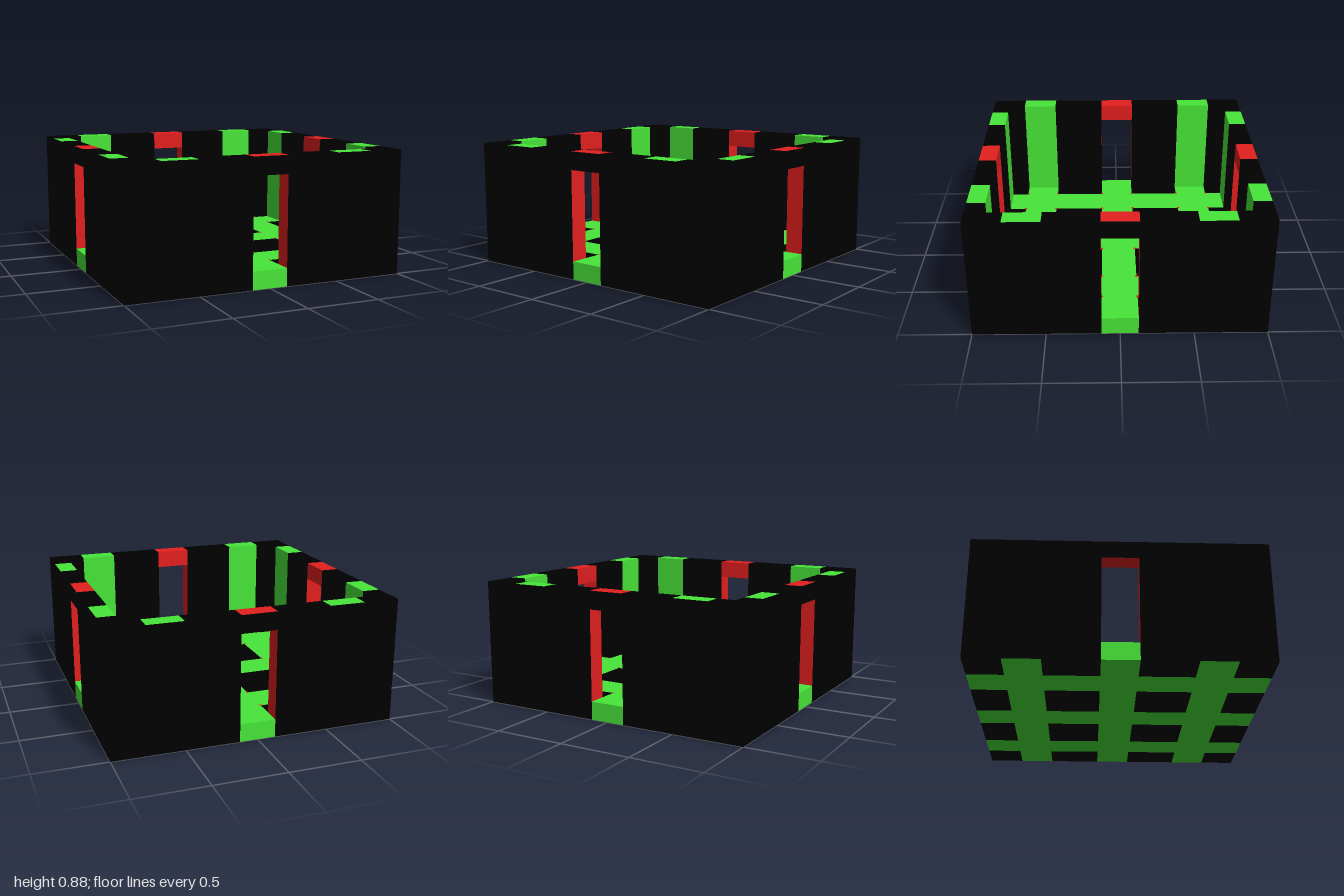
import * as THREE from 'three';

const mat = (name, color) => new THREE.MeshStandardMaterial({ name, color });

export function createModel() {
  const black = mat('black', 0x000000);
  const green = mat('green', 0x47e638);
  const red = mat('red', 0xe31f1f);
  const model = new THREE.Group();
  model.name = 'room';

  // Box from min/max corners; faces = [+x, -x, +y, -y, +z, -z]
  const block = (parent, name, [x0, x1], [y0, y1], [z0, z1], faces) => {
    const geometry = new THREE.BoxGeometry(x1 - x0, y1 - y0, z1 - z0);
    const mesh = new THREE.Mesh(geometry, faces);
    mesh.position.set((x0 + x1) / 2, (y0 + y1) / 2, (z0 + z1) / 2);
    mesh.name = name;
    parent.add(mesh);
  };

  const T = 0.125; // wall and floor thickness
  const H = 0.875; // wall height
  const doorTop = 0.75;
  const stops = [-1, -0.75, -0.5, -T, T, 0.5, 0.75, 1];

  // Floor: green lattice with black squares, green at the doorsteps
  const floor = new THREE.Group();
  floor.name = 'floor';
  model.add(floor);
  for (let i = 0; i < 7; i++) {
    for (let j = 0; j < 7; j++) {
      const onStripe = i % 2 === 1 || j % 2 === 1;
      const face = onStripe ? green : black;
      const isDoor = (i === 3 && j % 6 === 0) || (j === 3 && i % 6 === 0);
      const side = isDoor ? green : black;
      block(floor, onStripe ? 'floorStripe' : 'floorSquare',
        [stops[i], stops[i + 1]], [0, T], [stops[j], stops[j + 1]],
        [side, side, face, face, side, side]);
    }
  }

  // Small red studs where the stripes cross
  const studs = new THREE.Group();
  studs.name = 'crossingStuds';
  model.add(studs);
  const studGeometry = new THREE.CircleGeometry(0.014, 4).rotateX(-Math.PI / 2);
  for (const x of stops.slice(1, 7)) {
    for (const z of stops.slice(1, 7)) {
      const stud = new THREE.Mesh(studGeometry, red);
      stud.name = 'crossingStud';
      stud.position.set(x, T + 0.002, z);
      studs.add(stud);
    }
  }

  // Four equal walls, each overlapping the next at one corner
  for (let side = 0; side < 4; side++) {
    const wall = new THREE.Group();
    wall.name = ['frontWall', 'leftWall', 'backWall', 'rightWall'][side];
    wall.rotation.y = side * Math.PI / 2;
    model.add(wall);
    const depth = [H, 1];
    for (let i = 0; i < 7; i++) {
      const span = [stops[i], i === 6 ? H : stops[i + 1]];
      if (i === 3) {
        // lintel over the doorway
        block(wall, 'lintel', span, [doorTop, H], depth, [red, red, red, red, black, red]);
        continue;
      }
      // green pillars show on top and inside; red jambs line the doorway
      const pillar = i === 1 || i === 5;
      const face = pillar ? green : black;
      block(wall, pillar ? 'pillar' : 'wallPanel', span, [T, H], depth,
        [i === 2 ? red : black, i === 4 ? red : black, face, black, black, face]);
    }
  }
  return model;
}
